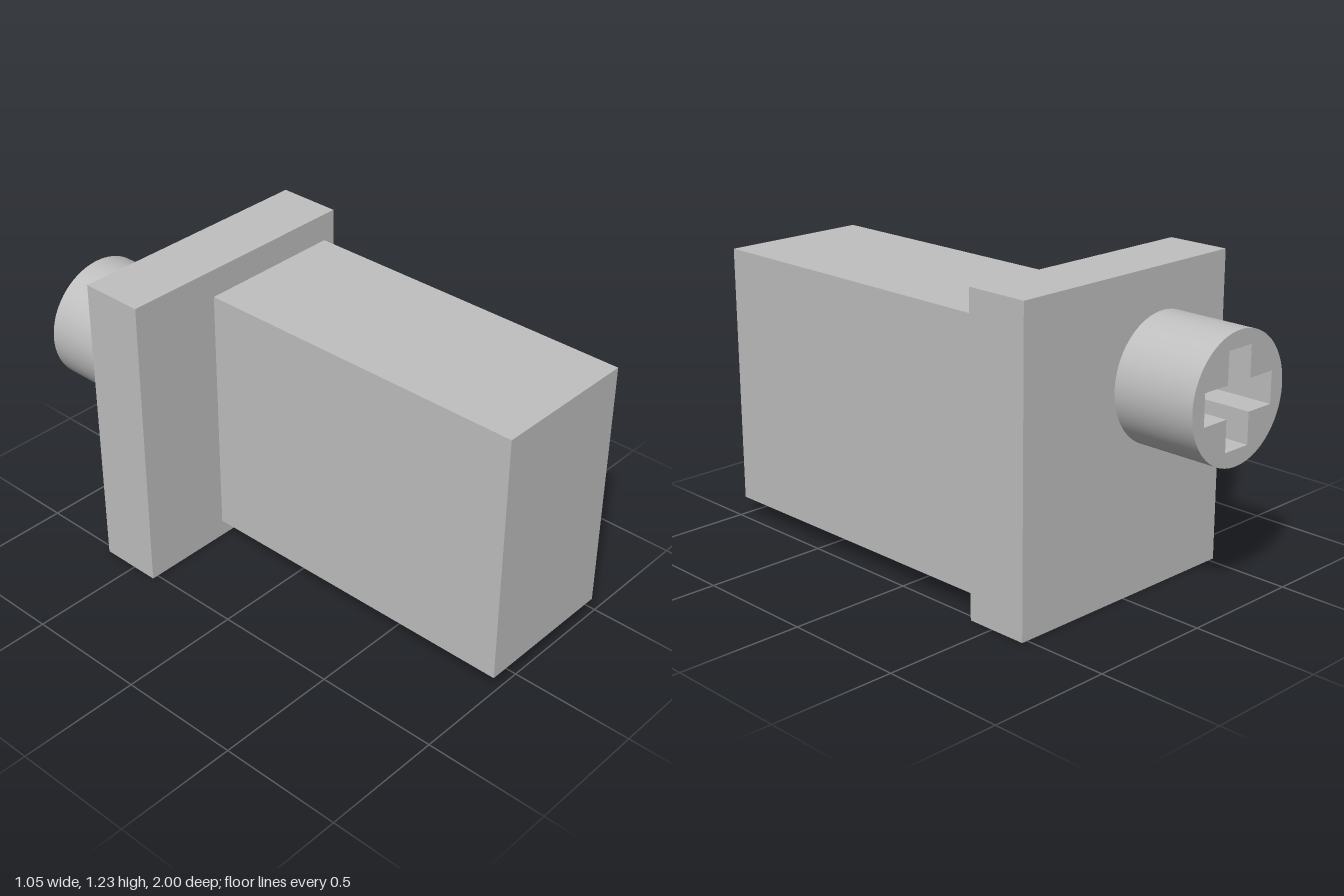
import * as THREE from 'three';
import { toCreasedNormals } from 'three/addons/utils/BufferGeometryUtils.js';

export function createModel() {
  const group = new THREE.Group();
  const grey = new THREE.MeshStandardMaterial({ color: 0xc0c0c0 });
  grey.name = 'light grey';

  const add = (name, geometry, x, y, z) => {
    const mesh = new THREE.Mesh(geometry, grey);
    mesh.name = name;
    mesh.position.set(x, y, z);
    group.add(mesh);
  };

  // Long block towards the front and the flange behind it
  add('block', new THREE.BoxGeometry(0.61, 1.044, 1.392), 0.167, 0.593, 0.304);
  add('flange', new THREE.BoxGeometry(1.05, 1.228, 0.258), 0, 0.614, -0.521);

  // Round boss at the back with a cross-shaped socket
  const arm = 0.185, half = 0.062;
  const corners = [];
  for (let i = 0; i < 4; i++) {
    const c = [1, 0, -1, 0][i], s = [0, 1, 0, -1][i];
    for (const [x, y] of [[arm, -half], [arm, half], [half, half]]) {
      corners.push(new THREE.Vector2(x * c - y * s, x * s + y * c));
    }
  }
  const ring = new THREE.Shape().absarc(0, 0, 0.25, 0, Math.PI * 2);
  ring.holes.push(new THREE.Path(corners));
  const boss = new THREE.ExtrudeGeometry(ring, { depth: 0.35, bevelEnabled: false, curveSegments: 64 });
  add('boss', toCreasedNormals(boss, 0.6), -0.18, 0.812, -1);

  return group;
}
